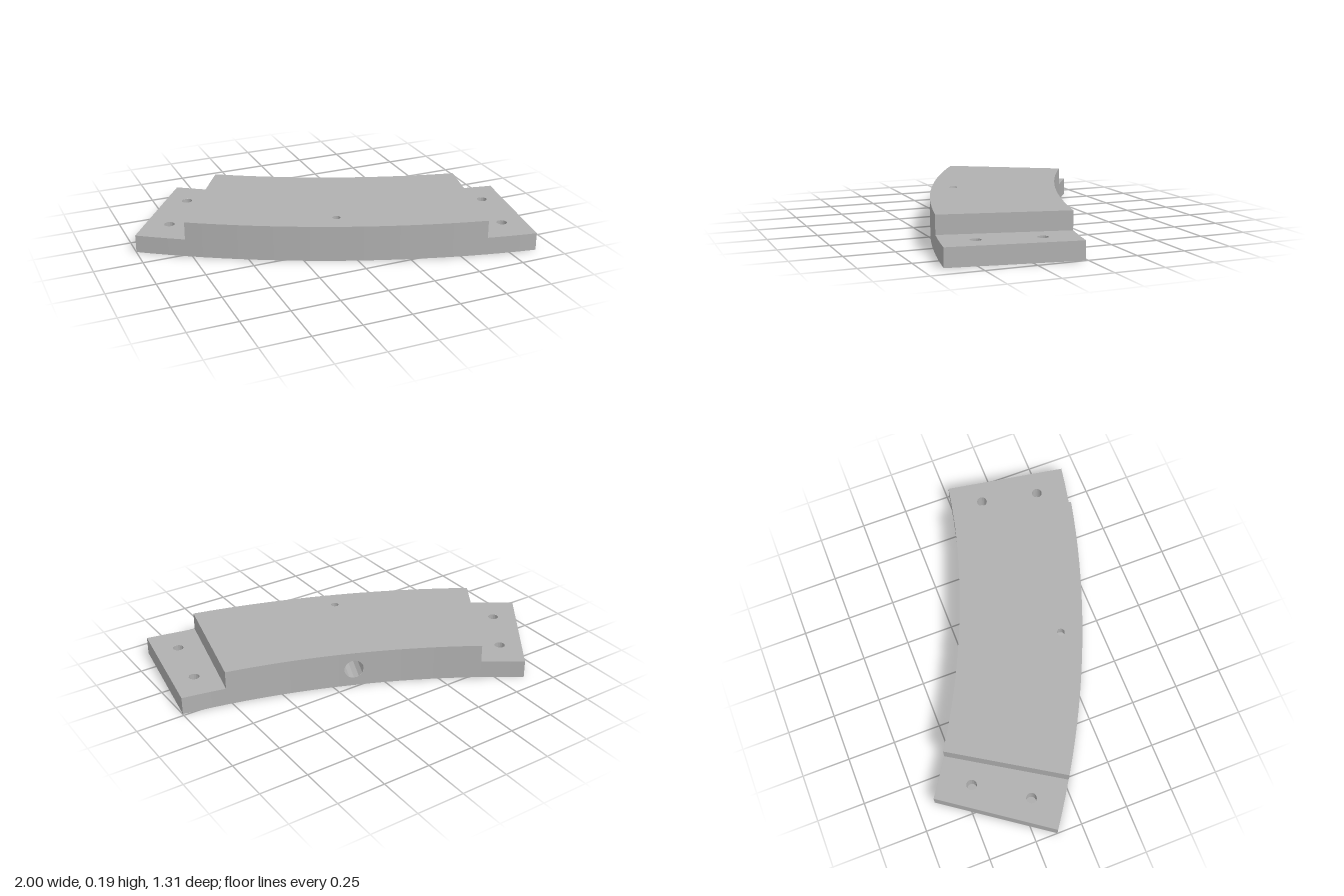
import * as THREE from 'three';

// Plan is a ring sector, symmetric about its own mid radius
const R0 = 3.98, R1 = 4.627;          // inner and outer radius
const STEP = 0.166, END = 0.2228;     // half angles of raised body and whole plate
const H0 = 0.093, H1 = 0.188;         // tab height, body height
const BORE_Y = 0.095, BORE_R = 0.05, BORE_END = 4.54, PANEL = 0.02;
const PORT_Z = 4.514, PORT_R = 0.02;

const polar = (r, t) => [r * Math.sin(t), r * Math.cos(t)];

export function createModel() {
  const metal = new THREE.MeshStandardMaterial({ color: 0xb0b0b0 });
  metal.name = 'grey metal';
  const model = new THREE.Group();
  model.name = 'curvedPlate';
  const body = new THREE.Group();
  body.name = 'plateBody';
  body.position.set(1.673, 0, -3.91);
  body.rotation.y = -0.393;
  model.add(body);

  function add(name, geometry, inward = false) {
    if (inward) {
      const idx = geometry.index.array;
      for (let i = 0; i < idx.length; i += 3) [idx[i], idx[i + 1]] = [idx[i + 1], idx[i]];
    }
    const g = geometry.toNonIndexed();
    g.computeVertexNormals();
    const mesh = new THREE.Mesh(g, metal);
    mesh.name = name;
    body.add(mesh);
  }

  // Flat ring-sector face; holes are [x, z, radius]
  function cap(name, t0, t1, y, holes, down = false) {
    const pts = [], n = Math.max(2, Math.round((t1 - t0) / PANEL));
    for (const [r, a, b] of [[R0, t0, t1], [R1, t1, t0]]) {
      for (let i = 0; i <= n; i++) {
        const [x, z] = polar(r, a + (b - a) * i / n);
        pts.push(new THREE.Vector2(x, -z));
      }
    }
    const shape = new THREE.Shape(pts);
    for (const [x, z, r] of holes) {
      shape.holes.push(new THREE.Path().absarc(x, -z, r, 0, Math.PI * 2, true));
    }
    add(name, new THREE.ShapeGeometry(shape, 16).rotateX(-Math.PI / 2).translate(0, y, 0), down);
  }

  // Curved wall along an arc
  function arcWall(name, r, t0, t1, y0, y1) {
    const n = Math.max(2, Math.round((t1 - t0) / PANEL));
    const g = new THREE.CylinderGeometry(r, r, y1 - y0, n, 1, true, t0, t1 - t0);
    add(name, g.translate(0, (y0 + y1) / 2, 0), r === R0);
  }

  // Straight radial wall
  function endWall(name, t, y0, y1) {
    const g = new THREE.PlaneGeometry(R1 - R0, y1 - y0).rotateY(Math.sign(t) * Math.PI / 2);
    add(name, g.translate(0, (y0 + y1) / 2, (R0 + R1) / 2).rotateY(t));
  }

  // Tabs with two bolt holes each
  const allHoles = [];
  for (const [side, s] of [['left', 1], ['right', -1]]) {
    const holes = [4.15, 4.461].map(r => [...polar(r, s * 0.195), 0.027]);
    allHoles.push(...holes);
    const [t0, t1] = s > 0 ? [STEP, END] : [-END, -STEP];
    cap(side + 'TabTop', t0, t1, H0, holes);
    endWall(side + 'TabEnd', s * END, 0, H0);
    endWall(side + 'Step', s * STEP, H0, H1);
    arcWall(side + 'TabFront', R1, t0, t1, 0, H0);
    arcWall(side + 'TabBack', R0, t0, t1, 0, H0);
    for (const [x, z, r] of holes) {
      const g = new THREE.CylinderGeometry(r, r, H0, 16, 1, true);
      add(side + 'BoltHole', g.translate(x, H0 / 2, z), true);
    }
    // Back wall either side of the bore panel
    const [b0, b1] = s > 0 ? [PANEL, STEP] : [-STEP, -PANEL];
    arcWall(side + 'BodyBack', R0, b0, b1, 0, H1);
  }

  // Main faces
  cap('underside', -END, END, 0, allHoles, true);
  cap('bodyTop', -STEP, STEP, H1, [[0, PORT_Z, PORT_R]]);
  arcWall('bodyFront', R1, -STEP, STEP, 0, H1);

  // Back panel pierced by the bore
  const [w, z0] = polar(R0, PANEL);
  const panel = new THREE.Shape([[-w, 0], [w, 0], [w, H1], [-w, H1]].map(p => new THREE.Vector2(...p)));
  panel.holes.push(new THREE.Path().absarc(0, BORE_Y, BORE_R, 0, Math.PI * 2, true));
  add('borePanel', new THREE.ShapeGeometry(panel, 12).rotateY(Math.PI).translate(0, 0, z0));

  // Blind bore and the small port above its end
  const len = BORE_END - z0;
  const bore = new THREE.CylinderGeometry(BORE_R, BORE_R, len, 12, 1, true).rotateX(Math.PI / 2);
  add('bore', bore.translate(0, BORE_Y, z0 + len / 2), true);
  add('boreEnd', new THREE.CircleGeometry(BORE_R, 12).rotateY(Math.PI).translate(0, BORE_Y, BORE_END));
  const portBase = BORE_Y + BORE_R - 0.005;
  const port = new THREE.CylinderGeometry(PORT_R, PORT_R, H1 - portBase, 16, 1, true);
  add('topPort', port.translate(0, (H1 + portBase) / 2, PORT_Z), true);

  return model;
}
